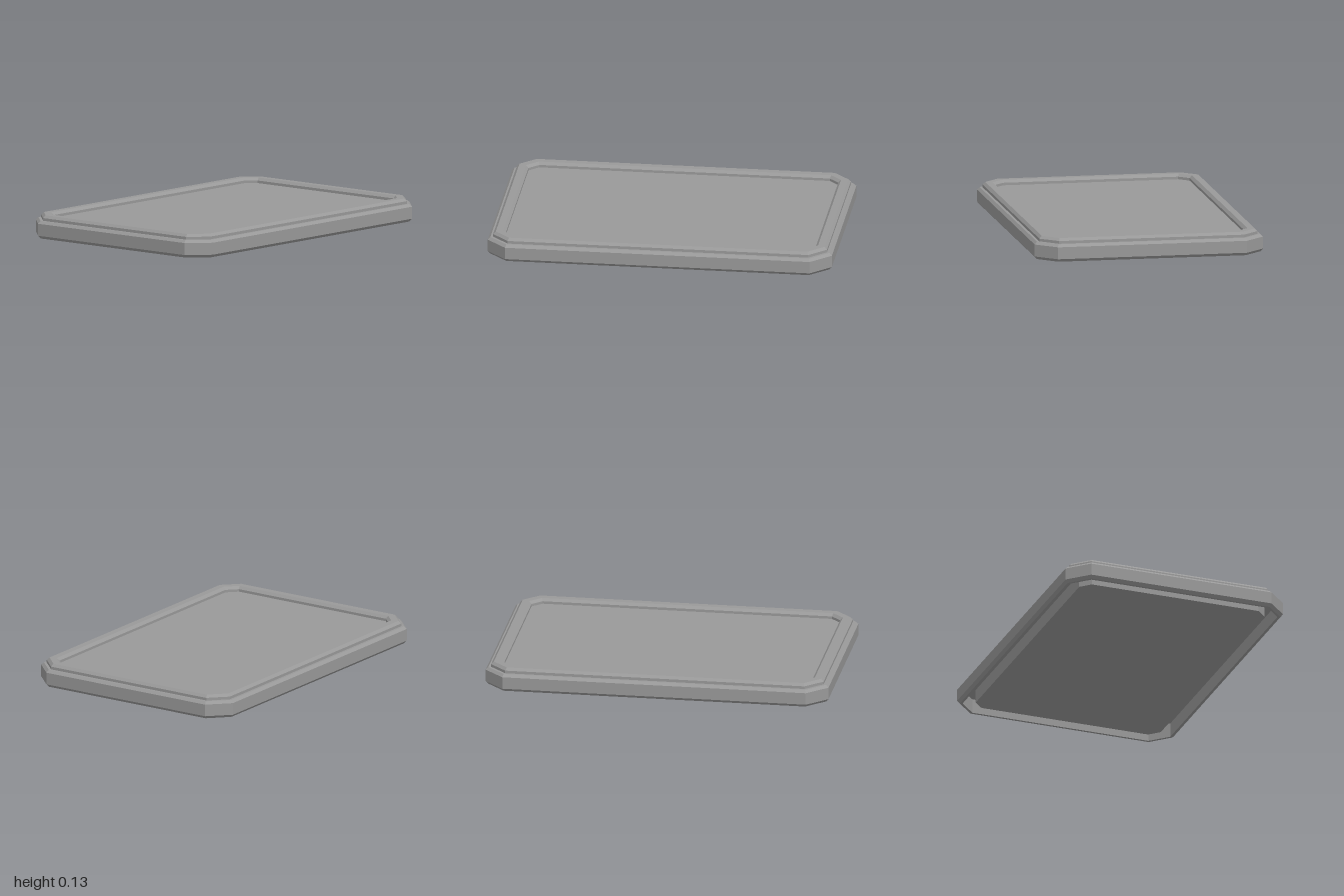
import * as THREE from 'three';

const HALF_X = 0.67, HALF_Z = 1, CUT = 0.115;

// Corner points of the chamfered rectangle, offset inwards evenly
function ring(inset, y) {
  const a = HALF_X - inset, b = HALF_Z - inset;
  const c = CUT - inset * (2 - Math.SQRT2);
  return [
    [a, -b + c], [a, b - c], [a - c, b], [-a + c, b],
    [-a, b - c], [-a, -b + c], [-a + c, -b], [a - c, -b],
  ].map(([x, z]) => new THREE.Vector3(x, y, z));
}

// Sweeps a profile of [inset, height] pairs round the outline
function sweep(profile, { capStart = false, capEnd = false } = {}) {
  const rings = profile.map(([inset, y]) => ring(inset, y));
  const centre = (y) => Array.from({ length: 8 }, () => new THREE.Vector3(0, y, 0));
  if (capStart) rings.unshift(centre(profile[0][1]));
  if (capEnd) rings.push(centre(profile[profile.length - 1][1]));
  const points = [];
  for (let i = 0; i + 1 < rings.length; i++) {
    const low = rings[i], high = rings[i + 1];
    for (let j = 0; j < 8; j++) {
      const k = (j + 1) % 8;
      if (!(capEnd && i === rings.length - 2)) points.push(low[j], high[j], high[k]);
      if (capEnd && i === rings.length - 2) points.push(low[j], high[j], low[k]);
      else if (!(capStart && i === 0)) points.push(low[j], high[k], low[k]);
    }
  }
  const geometry = new THREE.BufferGeometry().setFromPoints(points);
  geometry.computeVertexNormals();
  return geometry;
}

export function createModel() {
  const model = new THREE.Group();
  model.name = 'tray';
  const grey = new THREE.MeshStandardMaterial({ color: 0x999999 });
  grey.name = 'grey';

  const add = (name, geometry) => {
    const mesh = new THREE.Mesh(geometry, grey);
    mesh.name = name;
    model.add(mesh);
  };

  // Plug under the panel, with the groove roof around it
  add('underside', sweep([[0.1, 0.005], [0.1, 0.085], [0.03, 0.085]], { capStart: true }));

  // Outer skirt with bevelled edges, up to the step
  add('skirt', sweep([
    [0.03, 0.085], [0.03, 0], [0.015, 0], [0, 0.017],
    [0, 0.087], [0.015, 0.102], [0.03, 0.102],
  ]));

  // Raised lip, bevelled on both sides
  add('raisedLip', sweep([
    [0.03, 0.102], [0.03, 0.118], [0.045, 0.133],
    [0.085, 0.133], [0.1, 0.118], [0.1, 0.103],
  ]));

  // Sunken top panel
  add('topPanel', sweep([[0.1, 0.103]], { capEnd: true }));

  return model;
}
